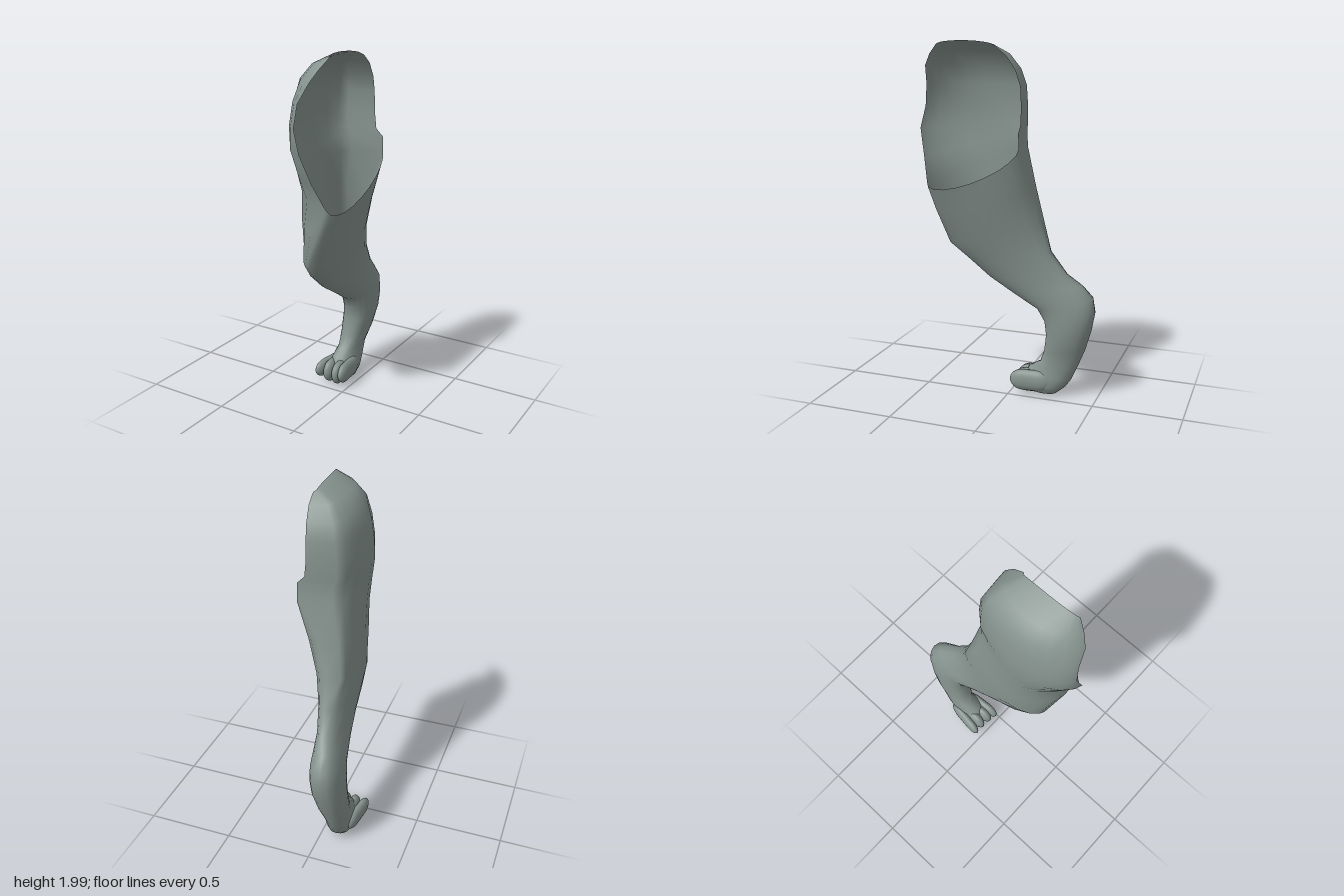
import * as THREE from 'three';

const N = 20; // points around each cross-section

// Cross-sections: [front z, front y, back z, back y, outer x, inner x, front x, back x, bow]
// Open sections (hip shell) have only the outer half; their ends form the rim.
const hip = [
  [0.35, 1.98, 0.02, 1.97, 0.12, 0.14, 0.14, 0.14, 0.025],
  [0.40, 1.93, -0.04, 1.925, -0.01, 0.13, 0.115, 0.14, 0.02],
  [0.44, 1.87, -0.09, 1.85, -0.075, 0.1, 0.085, 0.135, 0.01],
  [0.46, 1.77, -0.115, 1.77, -0.1, 0.08, 0.03, 0.13, 0],
  [0.475, 1.65, -0.12, 1.66, -0.115, 0.07, 0.015, 0.13, 0],
  [0.49, 1.53, -0.12, 1.57, -0.12, 0.09, 0.055, 0.14, 0],
  [0.45, 1.38, -0.122, 1.53, -0.116, 0.13, 0.1, 0.18, 0],
];
// Closed sections from the lower rim down to the sole
const limb = [
  [0.41, 1.25, -0.125, 1.45, -0.114, 0.203, 0.155, 0.18, 0.09],
  [0.39, 1.10, -0.16, 1.22, -0.117, 0.165, 0.09, 0.055, 0.03],
  [0.34, 0.89, -0.20, 1.03, -0.122, 0.11, 0.0, 0.0, 0],
  [0.24, 0.80, -0.25, 0.87, -0.112, 0.07, -0.03, -0.01, 0],
  [0.12, 0.70, -0.34, 0.745, -0.11, 0.04, -0.035, -0.03, 0],
  [-0.02, 0.615, -0.42, 0.68, -0.125, 0.033, -0.04, -0.06, 0],
  [-0.16, 0.53, -0.475, 0.615, -0.147, 0.03, -0.06, -0.07, 0],
  [-0.20, 0.46, -0.488, 0.53, -0.158, 0.027, -0.07, -0.07, 0],
  [-0.21, 0.38, -0.47, 0.43, -0.164, 0.02, -0.07, -0.07, 0],
  [-0.195, 0.28, -0.435, 0.31, -0.164, -0.005, -0.085, -0.08, 0],
  [-0.165, 0.20, -0.39, 0.20, -0.16, -0.035, -0.1, -0.095, 0],
  [-0.10, 0.165, -0.35, 0.11, -0.165, -0.025, -0.1, -0.1, 0],
  [-0.06, 0.09, -0.315, 0.06, -0.165, -0.02, -0.1, -0.1, 0],
  [-0.10, 0.035, -0.27, 0.022, -0.155, -0.035, -0.1, -0.1, 0],
  [-0.19, 0.01, -0.20, 0.01, -0.11, -0.09, -0.1, -0.1, 0],
];

function legGeometry() {
  const pos = [], idx = [];
  const rows = [...hip, ...limb];
  rows.forEach(([zf, yf, zb, yb, xo, xi, xf, xb, bow], r) => {
    const open = r < hip.length;
    const skew = r < hip.length + 3 ? 0.45 : 0; // outer thigh: square back, tapered front
    for (let j = 0; j < N; j++) {
      const a = (j / N) * Math.PI * 2, c = Math.cos(a);
      let s = Math.sin(a);
      if (Math.abs(s) < 1e-6 || (open && s > 0)) s = 0;
      const t = (1 - c) / 2; // 0 front, 1 back
      const mid = xf + (xb - xf) * t;
      const w = Math.pow(Math.abs(s), s > 0 ? 0.85 : 0.8 + skew * c);
      const x = mid + ((s > 0 ? xi : xo) - mid) * w;
      const y = yf + (yb - yf) * t - bow * (open ? s : Math.max(s, 0));
      pos.push(x, y, zf + (zb - zf) * t);
    }
  });
  for (let r = 0; r < rows.length - 1; r++) {
    for (let j = r < hip.length ? N / 2 : 0; j < N; j++) {
      const k = (j + 1) % N;
      const a = r * N + j, b = r * N + k, c = a + N, d = b + N;
      idx.push(a, c, b, b, c, d);
    }
  }
  const g = new THREE.BufferGeometry();
  g.setAttribute('position', new THREE.Float32BufferAttribute(pos, 3));
  g.setIndex(idx);
  g.computeVertexNormals();
  return g;
}

export function createModel() {
  const group = new THREE.Group();
  group.name = 'hindLeg';
  const hide = new THREE.MeshStandardMaterial({ color: 0x87948f, side: THREE.DoubleSide });
  hide.name = 'greyGreenHide';

  const leg = new THREE.Mesh(legGeometry(), hide);
  leg.name = 'thighAndShank';
  group.add(leg);

  // Paw: four blunt toes fanning forward, [x, y, z, half width, half height, half length, yaw]
  const paw = new THREE.Group();
  paw.name = 'paw';
  const toes = [
    [-0.174, 0.088, -0.14, 0.028, 0.054, 0.125, -0.14],
    [-0.128, 0.085, -0.125, 0.034, 0.07, 0.105, -0.04],
    [-0.075, 0.085, -0.12, 0.034, 0.07, 0.105, 0.04],
    [-0.034, 0.098, -0.125, 0.03, 0.062, 0.12, 0.08],
  ];
  const toeShape = new THREE.CapsuleGeometry(1, 1.2, 6, 14).rotateX(Math.PI / 2);
  toes.forEach(([x, y, z, w, h, l, yaw], i) => {
    const toe = new THREE.Mesh(toeShape, hide);
    toe.name = 'toe' + (i + 1);
    toe.position.set(x, y, z);
    toe.scale.set(w, h, l / 1.6);
    toe.rotation.y = yaw;
    paw.add(toe);
  });
  group.add(paw);
  return group;
}
